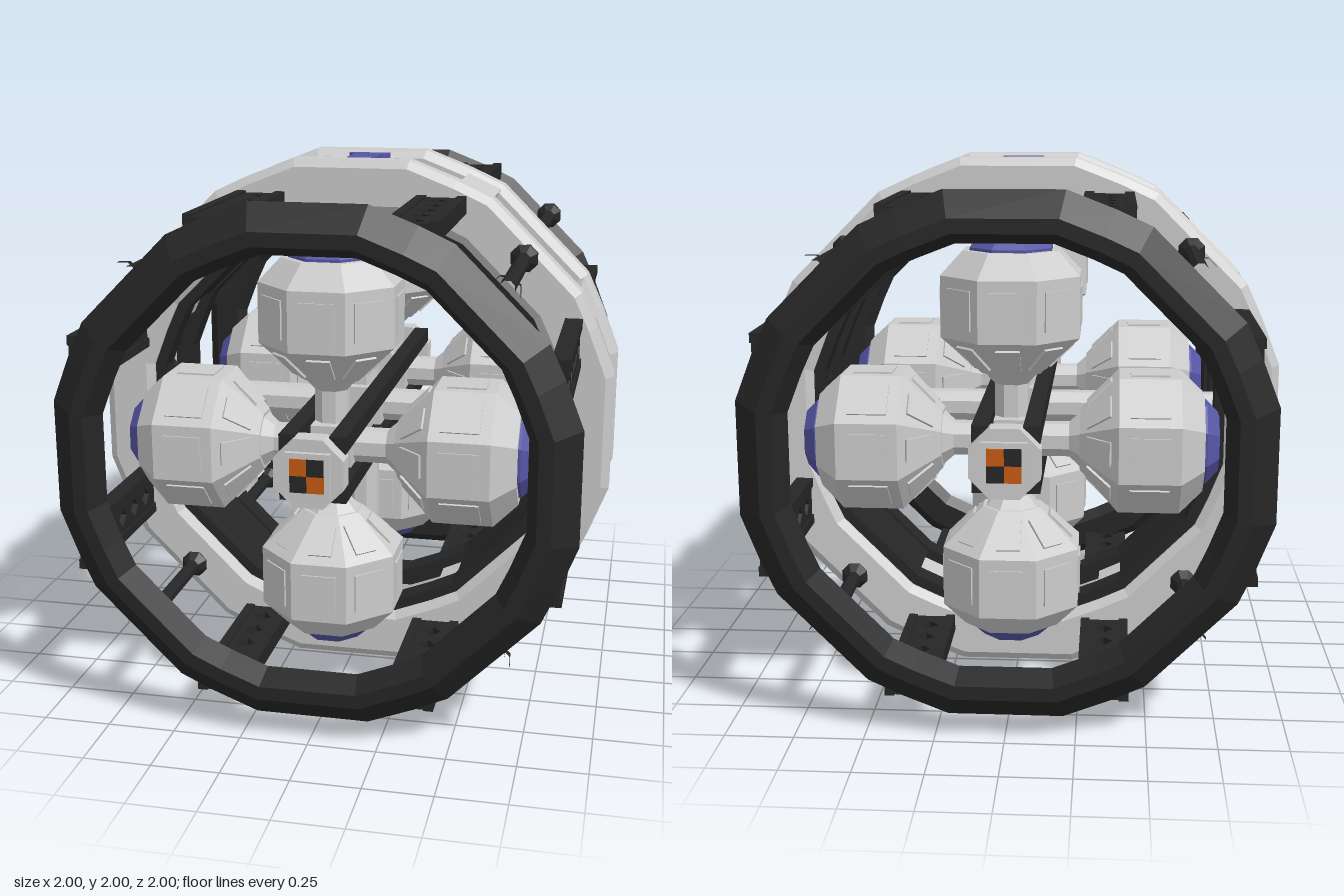
import * as THREE from 'three';

const mat = (color) => new THREE.MeshStandardMaterial({ color, flatShading: true });

// Unit outline of every ring: 24 corners built from one quarter
const QUARTER = [[1, 0.22], [0.93, 0.4], [0.87, 0.53], [0.53, 0.87], [0.4, 0.93], [0.22, 1]];
const OUTLINE = [];
for (let q = 0; q < 4; q++) {
  const c = Math.round(Math.cos(q * Math.PI / 2)), s = Math.round(Math.sin(q * Math.PI / 2));
  for (const [x, y] of QUARTER) OUTLINE.push([x * c - y * s, x * s + y * c]);
}

// Sweep a convex counter-clockwise profile of [radius, z] along part of the outline
function sweep(profile, from = 0, sides = 24) {
  const pos = [], n = profile.length;
  const at = (i, k) => {
    const [x, y] = OUTLINE[(from + i) % 24], [r, z] = profile[k % n];
    return [x * r, y * r, z];
  };
  const tri = (a, b, c) => pos.push(...a, ...b, ...c);
  for (let i = 0; i < sides; i++) {
    for (let k = 0; k < n; k++) {
      tri(at(i, k), at(i + 1, k), at(i + 1, k + 1));
      tri(at(i, k), at(i + 1, k + 1), at(i, k + 1));
    }
  }
  if (sides < 24) {
    for (let k = 1; k < n - 1; k++) {
      tri(at(0, 0), at(0, k), at(0, k + 1));
      tri(at(sides, 0), at(sides, k + 1), at(sides, k));
    }
  }
  const g = new THREE.BufferGeometry();
  g.setAttribute('position', new THREE.Float32BufferAttribute(pos, 3));
  g.computeVertexNormals();
  return g;
}
const flip = (profile) => profile.map(([r, z]) => [r, -z]).reverse();

// Eight-sided lathe whose flats face the axes; r is measured to the flats
function octLathe(points) {
  const k = 1 / Math.cos(Math.PI / 8);
  return new THREE.LatheGeometry(points.map(([r, y]) => new THREE.Vector2(r * k, y)), 8, Math.PI / 8);
}

export function createModel() {
  const root = new THREE.Group();
  root.name = 'station';
  root.position.y = 1;
  const grey = mat(0xcccccc), black = mat(0x262626), blue = mat(0x5555a5), orange = mat(0xc85a10);

  const add = (parent, name, geo, material, x = 0, y = 0, z = 0) => {
    const m = new THREE.Mesh(geo, material);
    m.name = name;
    m.position.set(x, y, z);
    parent.add(m);
    return m;
  };
  const box = (w, h, d) => new THREE.BoxGeometry(w, h, d);

  // End rings, side rails and inner lining of the middle ring
  const endRing = [[0.75, 0.91], [0.79, 0.875], [0.89, 0.875], [0.93, 0.915], [0.84, 1], [0.79, 1]];
  const rail = [[0.8, 0.13], [0.97, 0.13], [1, 0.16], [1, 0.23], [0.97, 0.25], [0.83, 0.25], [0.8, 0.23]];
  const lining = [[0.76, 0.12], [0.83, 0.12], [0.83, 0.22], [0.76, 0.22]];
  for (const [name, profile, m] of [['endRing', endRing, black], ['middleRail', rail, grey], ['railLining', lining, black]]) {
    add(root, name, sweep(profile), m);
    add(root, name, sweep(flip(profile)), m);
  }

  // Cross beams between the windows, and recessed panels behind the diagonal windows
  const beam = [[0.8, -0.14], [0.985, -0.14], [0.985, 0.14], [0.8, 0.14]];
  const panel = [[0.77, -0.14], [0.83, -0.14], [0.83, 0.14], [0.77, 0.14]];
  for (let q = 0; q < 4; q++) {
    add(root, 'crossBeam', sweep(beam, q * 6 + 1, 1), grey);
    add(root, 'crossBeam', sweep(beam, q * 6 + 3, 1), grey);
    add(root, 'windowPanel', sweep(panel, q * 6 + 2, 1), black);
  }

  // Truss plate with diamond holes, lying flat with its length along z
  const plate = new THREE.Shape();
  plate.moveTo(-0.09, 0.23).lineTo(0.09, 0.23).lineTo(0.09, 0.9).lineTo(-0.09, 0.9).closePath();
  for (let k = 0; k < 5; k++) {
    const z = 0.345 + 0.125 * k, hole = new THREE.Path();
    hole.moveTo(0, z - 0.04).lineTo(-0.035, z).lineTo(0, z + 0.04).lineTo(0.035, z).closePath();
    plate.holes.push(hole);
  }
  const trussGeo = new THREE.ExtrudeGeometry(plate, { depth: 0.05, bevelEnabled: false });
  trussGeo.rotateX(Math.PI / 2).translate(0, 0.025, 0);

  // Thin rod with flared feet
  const rodGeo = octLathe([[0.05, 0.22], [0.05, 0.255], [0.026, 0.285], [0.026, 0.84], [0.05, 0.87], [0.05, 0.9]]);
  rodGeo.rotateX(Math.PI / 2);

  for (const end of [0, Math.PI]) {
    const half = new THREE.Group();
    half.name = 'cageHalf';
    half.rotation.y = end;
    root.add(half);
    for (let q = 0; q < 4; q++) {
      const side = new THREE.Group();
      side.name = 'cageSide';
      side.rotation.z = q * Math.PI / 2;
      half.add(side);
      for (const s of [-1, 1]) {
        add(side, 'truss', trussGeo, black, s * 0.345, 0.845, 0);
        for (const e of [-1, 1]) add(side, 'trussEdge', box(0.035, 0.065, 0.66), black, s * 0.345 + e * 0.075, 0.845, 0.565);
      }
      add(side, 'rod', rodGeo, black, 0.655, 0.655, 0);
    }

    // Checkered cap on the end of the axle
    const cap = new THREE.CylinderGeometry(0.135, 0.135, 0.08, 8, 1, false, Math.PI / 8);
    cap.rotateX(Math.PI / 2);
    add(half, 'axleCap', cap, grey, 0, 0, 0.9);
    add(half, 'axleCapFace', box(0.16, 0.16, 0.03), grey, 0, 0, 0.945);
    for (const x of [-1, 1]) {
      for (const y of [-1, 1]) {
        add(half, 'checker', box(0.06, 0.06, 0.02), x * y < 0 ? orange : black, x * 0.03, y * 0.03, 0.957);
      }
    }
  }

  // Axle made of four long bars
  for (const x of [-1, 1]) {
    for (const y of [-1, 1]) add(root, 'axleBar', box(0.06, 0.06, 1.76), black, x * 0.09, y * 0.09, 0);
  }
  for (const z of [-0.56, 0, 0.56]) add(root, 'axleHub', box(0.18, 0.18, 0.2), grey, 0, 0, z);

  // Pod: faceted ball with a neck towards the axle and a blue port facing outward
  const neckGeo = octLathe([[0.06, 0.08], [0.06, 0.21], [0.11, 0.27]]);
  const ballGeo = octLathe([[0, -0.25], [0.105, -0.25], [0.247, -0.11], [0.247, 0.11], [0.17, 0.195], [0.14, 0.195], [0, 0.195]]);
  const portGeo = octLathe([[0.145, 0.18], [0.145, 0.205], [0.1, 0.25], [0, 0.25]]);
  const addPod = (arm, z) => {
    const pod = new THREE.Group();
    pod.name = 'pod';
    pod.position.set(0, 0.5, z);
    arm.add(pod);
    add(pod, 'podNeck', neckGeo, grey, 0, -0.5, 0);
    add(pod, 'podBall', ballGeo, grey);
    add(pod, 'podPort', portGeo, blue);
    for (let i = 0; i < 8; i++) {
      const turn = new THREE.Group();
      turn.name = 'podPlates';
      turn.rotation.y = i * Math.PI / 4;
      pod.add(turn);
      add(turn, 'podPlate', box(0.13, 0.14, 0.02), grey, 0, 0, 0.243);
      add(turn, 'podPlate', box(0.085, 0.12, 0.02), grey, 0, -0.177, 0.177).rotation.x = Math.PI / 4;
    }
  };

  // Blue clamp, narrow in the middle and wide at both ends
  const clamp = new THREE.Shape([[-0.08, -0.14], [0.08, -0.14], [0.08, -0.11], [0.055, -0.08], [0.055, 0.08], [0.08, 0.11],
    [0.08, 0.14], [-0.08, 0.14], [-0.08, 0.11], [-0.055, 0.08], [-0.055, -0.08], [-0.08, -0.11]].map((p) => new THREE.Vector2(...p)));
  const clampGeo = new THREE.ExtrudeGeometry(clamp, { depth: 0.06, bevelEnabled: false });
  clampGeo.rotateX(-Math.PI / 2);
  const collarGeo = octLathe([[0, 0.78], [0.1, 0.78], [0.13, 0.82], [0.13, 0.9], [0.1, 0.94], [0, 0.94]]);
  const spokeGeo = octLathe([[0.06, 0.05], [0.06, 0.8]]);

  // Four arms around the axle
  for (let q = 0; q < 4; q++) {
    const arm = new THREE.Group();
    arm.name = 'arm';
    arm.rotation.z = q * Math.PI / 2;
    root.add(arm);
    addPod(arm, 0.56);
    addPod(arm, -0.56);
    add(arm, 'spoke', spokeGeo, grey);
    add(arm, 'spokeCollar', collarGeo, black);
    add(arm, 'clamp', clampGeo, blue, 0, 0.93, 0);
  }

  const model = new THREE.Group();
  model.name = 'model';
  model.add(root);
  return model;
}
